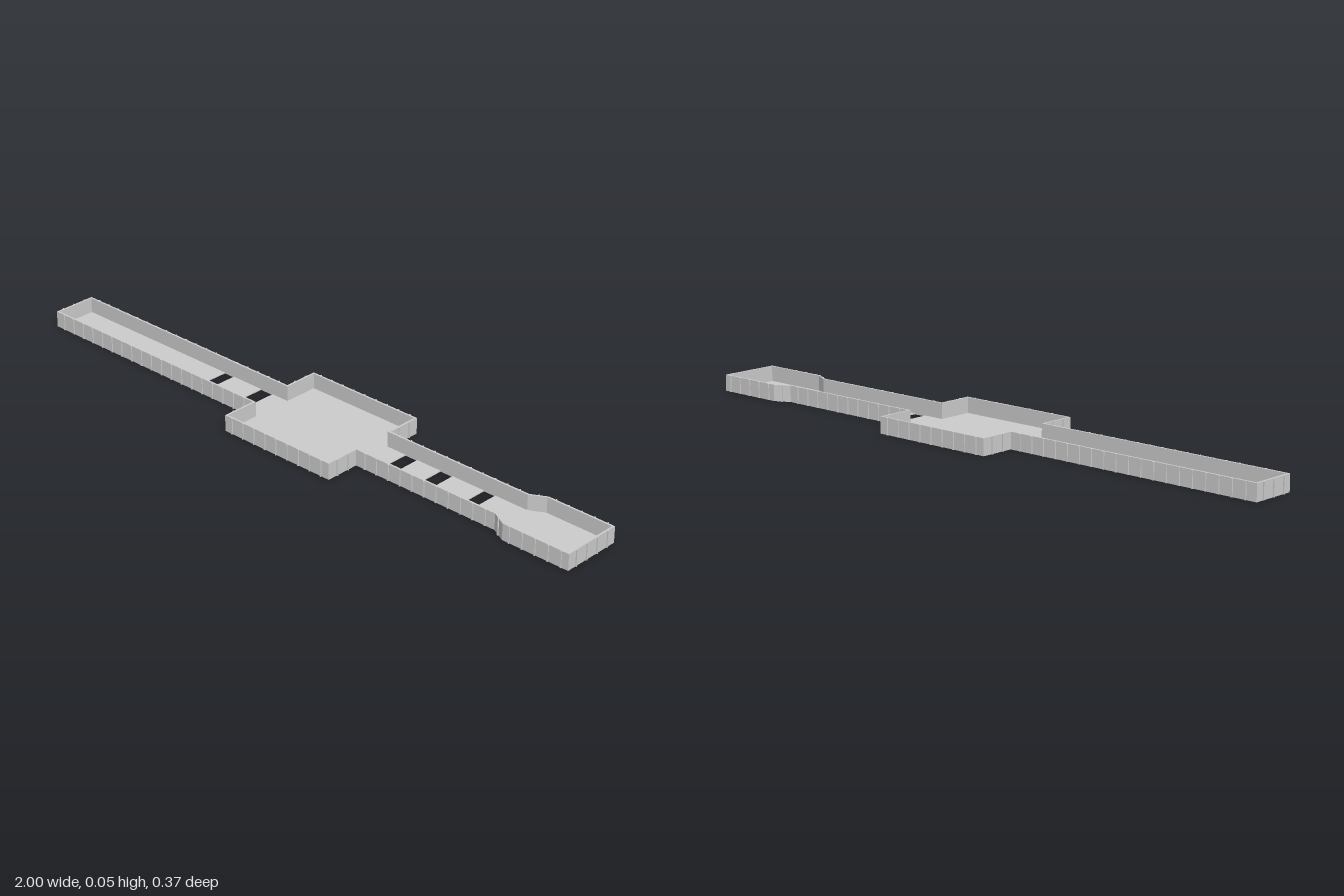
import * as THREE from 'three';

const HEIGHT = 0.05, FLOOR = 0.003, WALL = 0.006, PITCH = 0.0427;

// Plan outline (x, z) inset by t; half of it is listed, the rest mirrored
function outline(t) {
  const half = [
    [-0.996 + t, 0.07 - t], [-0.158 + t, 0.07 - t], [-0.158 + t, 0.179 - t],
    [0.24 - t, 0.179 - t], [0.24 - t, 0.07 - t], [0.732, 0.07 - t],
    [0.778, 0.095 - t], [0.996 - t, 0.095 - t],
  ];
  const other = half.map(([x, z]) => [x, -z]).reverse();
  return [...half, ...other].map(([x, z]) => new THREE.Vector2(x, z));
}

// Extrude a plan shape upwards from y = 0
function slab(shape, height) {
  const g = new THREE.ExtrudeGeometry(shape, { depth: height, bevelEnabled: false });
  return g.rotateX(-Math.PI / 2);
}

export function createModel() {
  const model = new THREE.Group();
  const mat = new THREE.MeshStandardMaterial({
    color: 0xcccccc, flatShading: true, side: THREE.DoubleSide,
  });

  // Floor with open gaps across the two arms
  const floor = new THREE.Shape(outline(WALL / 2));
  const gaps = [[-0.407, -0.37], [-0.258, -0.212], [0.301, 0.344], [0.429, 0.472], [0.583, 0.622]];
  for (const [a, b] of gaps) {
    floor.holes.push(new THREE.Path([
      [a, -0.065], [a, 0.065], [b, 0.065], [b, -0.065],
    ].map(([x, z]) => new THREE.Vector2(x, z))));
  }
  const floorMesh = new THREE.Mesh(slab(floor, FLOOR), mat);
  floorMesh.name = 'floor';
  model.add(floorMesh);

  // Continuous low wall around the edge
  const ring = new THREE.Shape(outline(0));
  ring.holes.push(new THREE.Path(outline(WALL)));
  const wall = new THREE.Mesh(slab(ring, HEIGHT), mat);
  wall.name = 'wall';
  model.add(wall);

  // Slim upright ribs on the outside, evenly pitched and centred on each wall run
  const ribs = new THREE.Group();
  ribs.name = 'wallRibs';
  const ribGeo = new THREE.BoxGeometry(0.0036, HEIGHT, 0.005).translate(0, HEIGHT / 2, 0.001);
  const pts = outline(0);
  pts.forEach((p, i) => {
    const q = pts[(i + 1) % pts.length];
    const length = p.distanceTo(q);
    const count = Math.floor(length / PITCH);
    for (let k = 0; k < count; k++) {
      const c = p.clone().lerp(q, 0.5 + (k - (count - 1) / 2) * PITCH / length);
      const rib = new THREE.Mesh(ribGeo, mat);
      rib.name = 'wallRib';
      rib.position.set(c.x, 0, c.y);
      rib.rotation.y = -Math.atan2(q.y - p.y, q.x - p.x);
      ribs.add(rib);
    }
  });
  model.add(ribs);
  return model;
}
